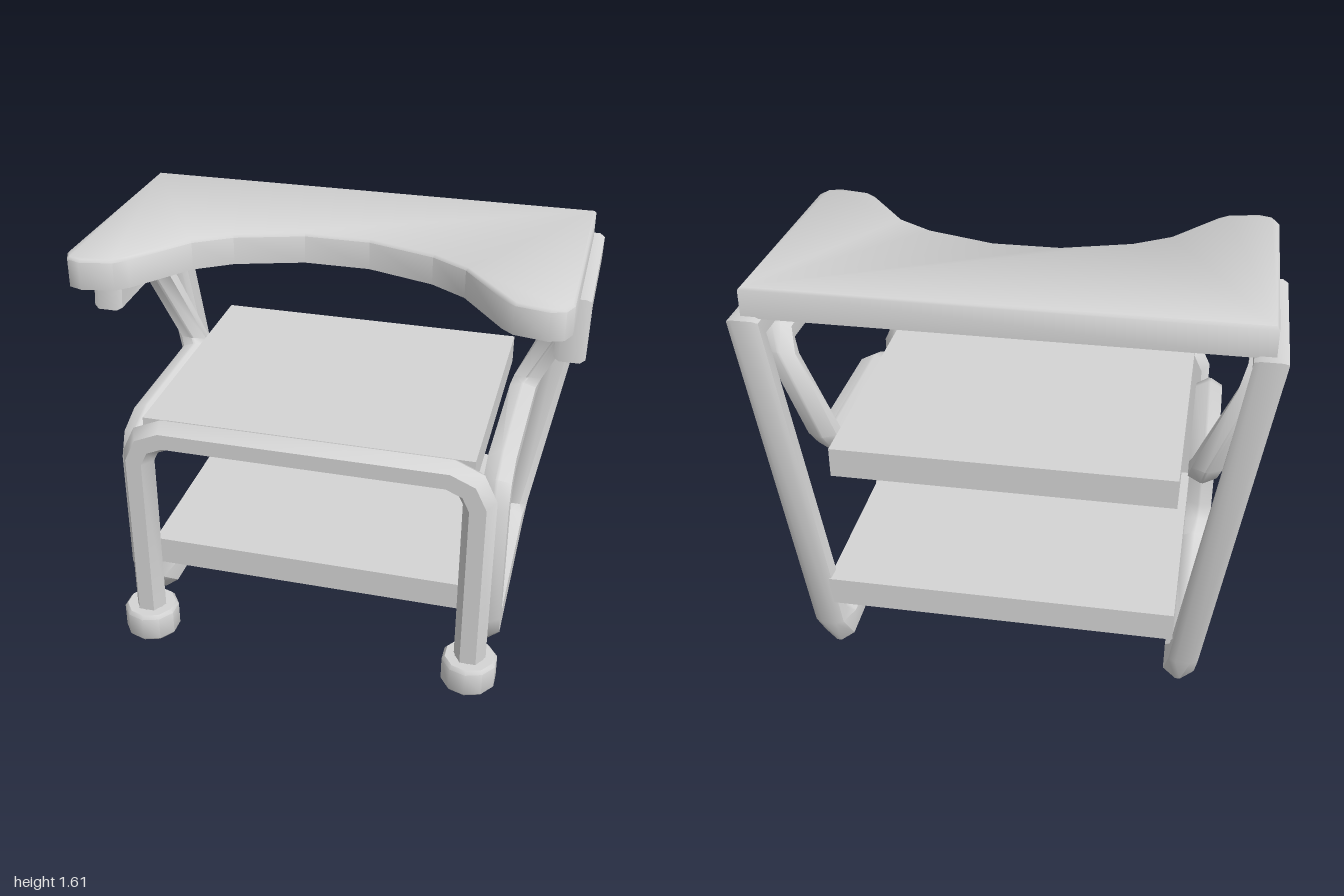
import * as THREE from 'three';
import { toCreasedNormals } from 'three/addons/utils/BufferGeometryUtils.js';

const V = (x, y, z) => new THREE.Vector3(x, y, z);

// Sweeps an eight-sided section along mitred points { p, a, b, f }:
// a = half size in the bend plane, b = half size along side, f = 0 for a hexagon up to 1 for a box
function bentTube(nodes, side, closed) {
  const n = nodes.length, pos = [], idx = [];
  const dir = (i, j) => {
    const d = nodes[j].p.clone().sub(nodes[i].p);
    return d.addScaledVector(side, -d.dot(side)).normalize();
  };
  nodes.forEach(({ p, a, b, f }, i) => {
    const next = closed || i < n - 1 ? dir(i, (i + 1) % n) : dir(i - 1, i);
    const prev = closed || i > 0 ? dir((i + n - 1) % n, i) : next;
    const t = prev.clone().add(next).normalize();
    const normal = side.clone().cross(t).multiplyScalar(1 / t.dot(next));
    const g = 0.5 + 0.4 * f;
    const ring = [[1, -f], [1, f], [g, 1], [-g, 1], [-1, f], [-1, -f], [-g, -1], [g, -1]];
    for (const [u, w] of ring) {
      const v = p.clone().addScaledVector(normal, a * u).addScaledVector(side, b * w);
      pos.push(v.x, v.y, v.z);
    }
  });
  for (let i = 0; i < (closed ? n : n - 1); i++) {
    const r = i * 8, s = ((i + 1) % n) * 8;
    for (let k = 0; k < 8; k++) {
      const m = (k + 1) % 8;
      idx.push(r + k, r + m, s + k, r + m, s + m, s + k);
    }
  }
  const geometry = new THREE.BufferGeometry();
  geometry.setAttribute('position', new THREE.Float32BufferAttribute(pos, 3));
  geometry.setIndex(idx);
  return toCreasedNormals(geometry, 0.85);
}

// Extruded slab with a bevelled top and no underside
function openSlab(outline, height, bevel) {
  const shape = new THREE.Shape(outline.map(([x, z]) => new THREE.Vector2(x, -z)));
  const solid = new THREE.ExtrudeGeometry(shape, {
    depth: height - bevel, bevelThickness: bevel, bevelSize: bevel, bevelOffset: -bevel, bevelSegments: 1,
  });
  const src = solid.getAttribute('position').array, kept = [];
  for (let i = 0; i < src.length; i += 9) {
    if (Math.max(src[i + 2], src[i + 5], src[i + 8]) > 0.001) kept.push(...src.slice(i, i + 9));
  }
  const shell = new THREE.BufferGeometry();
  shell.setAttribute('position', new THREE.Float32BufferAttribute(kept, 3));
  shell.rotateX(-Math.PI / 2);
  return toCreasedNormals(shell, 0.82);
}

export function createModel() {
  const model = new THREE.Group();
  const grey = new THREE.MeshStandardMaterial({ color: 0xd4d4d4, side: THREE.DoubleSide });
  grey.name = 'plain grey';
  const add = (name, geometry, x = 0, y = 0, z = 0) => {
    const mesh = new THREE.Mesh(geometry, grey);
    mesh.name = name;
    mesh.position.set(x, y, z);
    model.add(mesh);
  };

  // Tabletop shell with a scooped front edge; half outline as x, z
  const half = [[0.954, -0.59], [0.954, 0.355], [0.93, 0.41], [0.875, 0.43], [0.75, 0.405], [0.705, 0.365],
    [0.535, 0.14], [0.395, 0.048], [0.13, -0.036]];
  const outline = [...half, ...half.map(([x, z]) => [-x, z]).reverse()];
  add('tabletop', openSlab(outline, 0.12, 0.01), 0, 1.49, 0);

  // Shelves; the lower one sits slightly off centre like the front arch
  add('upperShelf', new THREE.BoxGeometry(1.316, 0.12, 1.085), 0, 0.923, -0.083);
  add('lowerShelf', new THREE.BoxGeometry(1.384, 0.118, 1.02), 0.016, 0.301, -0.115);

  // Side frames: one closed bent tube per side, as x, y, z, in-plane half size, sideways half size, boxiness
  const loop = [
    [0.938, 1.453, -0.587, 0.044, 0.06, 0.65], [0.938, 1.453, 0.023, 0.044, 0.06, 0.65],
    [0.938, 1.292, 0.044, 0.042, 0.06, 0.65], [0.93, 1.302, -0.31, 0.045, 0.06, 0.3],
    [0.9, 1.24, -0.37, 0.042, 0.06, 0.1], [0.752, 0.92, -0.393, 0.042, 0.058, 0.1],
    [0.737, 0.868, -0.355, 0.046, 0.055, 0.1], [0.732, 0.866, 0.243, 0.052, 0.055, 0.1],
    [0.732, 0.825, 0.338, 0.057, 0.055, 0.1], [0.732, 0.745, 0.371, 0.059, 0.055, 0.1],
    [0.732, 0.235, 0.371, 0.059, 0.055, 0.1], [0.728, 0.152, 0.33, 0.063, 0.057, 0.1],
    [0.715, 0.083, 0.235, 0.08, 0.062, 0.15], [0.708, 0.076, -0.535, 0.076, 0.062, 0.15],
    [0.724, 0.15, -0.587, 0.045, 0.058, 0.5],
  ];
  for (const s of [1, -1]) {
    const nodes = loop.map(([x, y, z, a, b, f]) => ({ p: V(s * x, y, z), a, b, f }));
    add(s > 0 ? 'leftSideFrame' : 'rightSideFrame', bentTube(nodes, V(1, 0, 0), true));
  }

  // Front arch, hollow at its ends
  const archX = 0.015, legX = 0.676, frontZ = 0.521;
  const arch = [[legX, 0.115], [legX, 0.845], [0.64, 0.92], [0.56, 0.955]];
  const archNodes = [...arch, ...arch.map(([x, y]) => [-x, y]).reverse()]
    .map(([x, y]) => ({ p: V(x, y, 0), a: 0.064, b: 0.057, f: 0 }));
  add('frontArch', bentTube(archNodes, V(0, 0, 1), false), archX, 0, frontZ);

  // Feet: thin cups open at the bottom, with a hole where the leg enters
  const profile = [[0.104, 0], [0.112, 0.01], [0.112, 0.108], [0.1, 0.123], [0.06, 0.123]]
    .map(([x, y]) => new THREE.Vector2(x, y));
  for (const s of [1, -1]) {
    add(s > 0 ? 'leftFoot' : 'rightFoot', toCreasedNormals(new THREE.LatheGeometry(profile, 10), 0.8),
      archX + s * legX, 0, frontZ);
  }
  return model;
}
